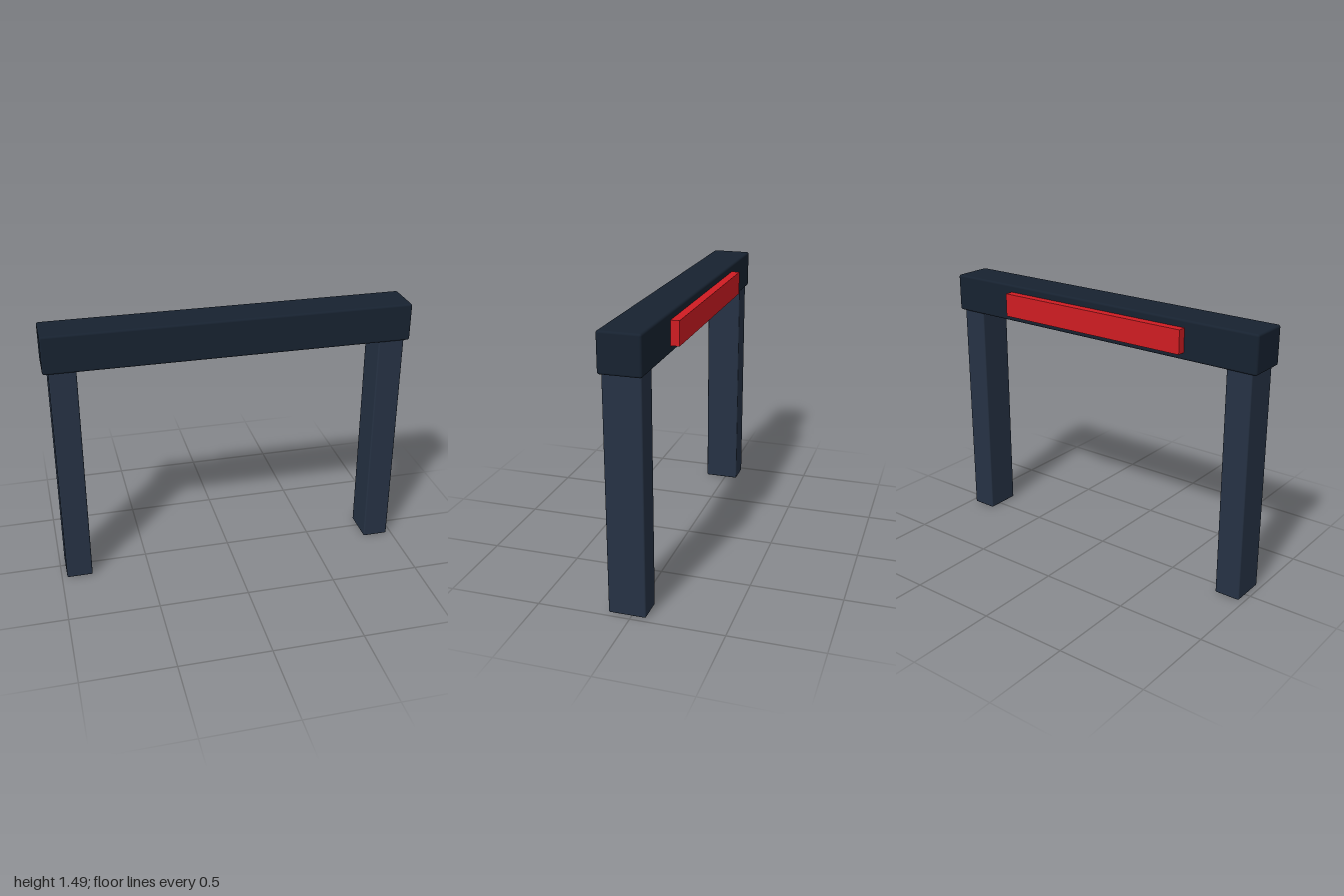
import * as THREE from 'three';
import { RoundedBoxGeometry } from 'three/addons/geometries/RoundedBoxGeometry.js';

export function createModel() {
  const model = new THREE.Group();
  model.name = 'gate';
  const beamPaint = new THREE.MeshStandardMaterial({ color: 0x172230 });
  const postPaint = new THREE.MeshStandardMaterial({ color: 0x263244 });
  const red = new THREE.MeshStandardMaterial({ color: 0xd01c22 });

  const add = (name, geometry, material, x, y, z) => {
    const mesh = new THREE.Mesh(geometry, material);
    mesh.name = name;
    mesh.position.set(x, y, z);
    model.add(mesh);
  };

  // Crossbeam with softened edges
  add('crossbeam', new RoundedBoxGeometry(2, 0.21, 0.223, 3, 0.012), beamPaint, 0, 1.382, 0.023);

  // Two upright posts, meeting the underside of the beam
  for (const [name, side] of [['leftPost', 1], ['rightPost', -1]]) {
    add(name, new RoundedBoxGeometry(0.145, 1.28, 0.2, 3, 0.008), postPaint, side * 0.898, 0.64, 0.024);
  }

  // Red panel on the back of the beam
  add('backPanel', new THREE.BoxGeometry(1.164, 0.13, 0.047), red, 0, 1.382, -0.1115);

  return model;
}
